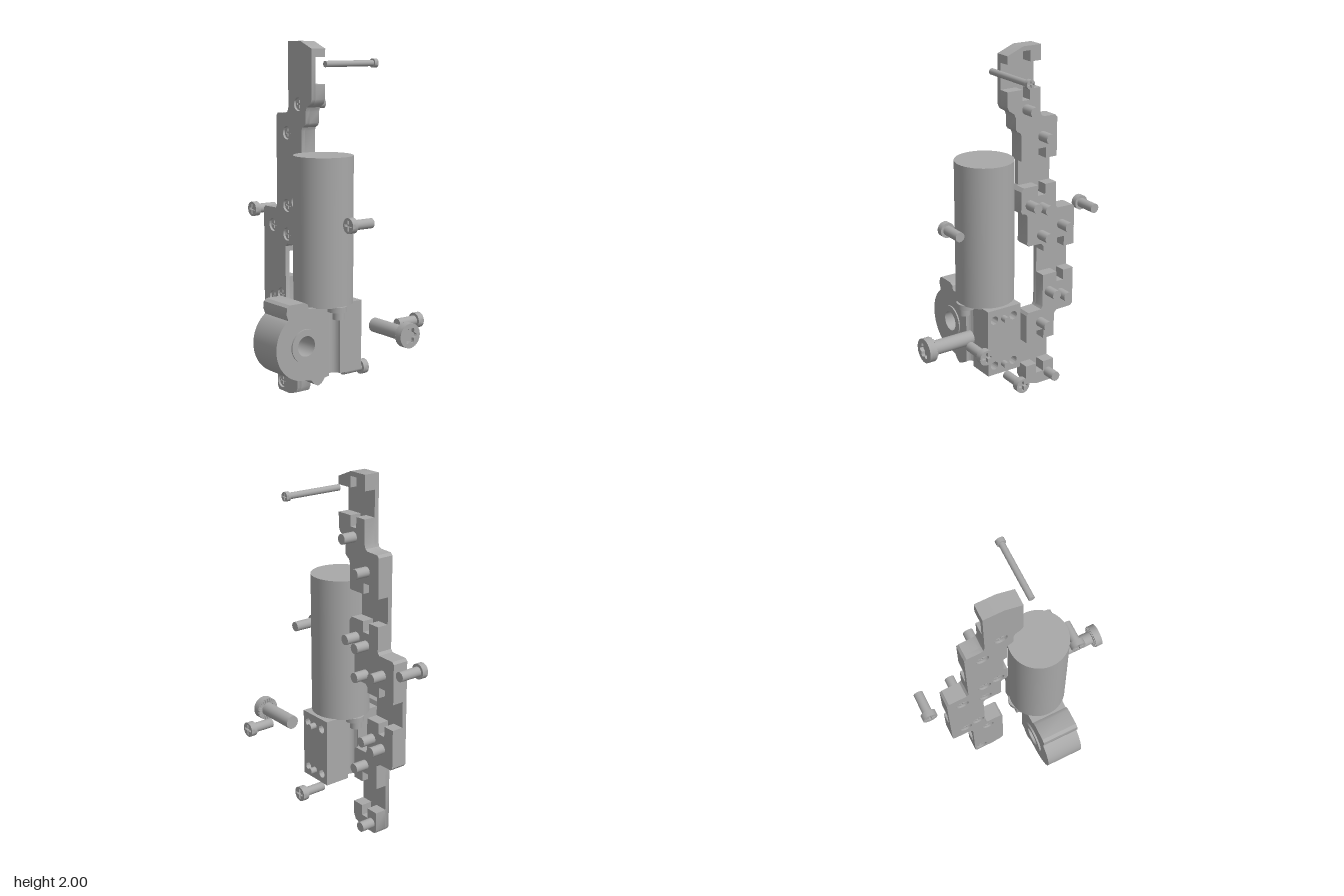
import * as THREE from 'three';
import { toCreasedNormals } from 'three/addons/utils/BufferGeometryUtils.js';

const steel = new THREE.MeshStandardMaterial({ color: 0xa8a8a8 });
steel.name = 'grey steel';

function mesh(name, geometry, parent, x = 0, y = 0, z = 0) {
  const m = new THREE.Mesh(geometry, steel);
  m.name = name;
  m.position.set(x, y, z);
  parent.add(m);
  return m;
}

const extrude = (shape, depth) => toCreasedNormals(
  new THREE.ExtrudeGeometry(shape, { depth, bevelEnabled: false, curveSegments: 16 }), 0.6);
const polygon = pts => new THREE.Shape(pts.map(p => new THREE.Vector2(p[0], p[1])));
const circle = (x, y, r, Type = THREE.Path) => {
  const c = new Type();
  c.absarc(x, y, r, 0, Math.PI * 2);
  return c;
};
// Cylinder lying along z, from z0 to z1
const rod = (r, z0, z1) =>
  new THREE.CylinderGeometry(r, r, z1 - z0, 32).rotateX(Math.PI / 2).translate(0, 0, (z0 + z1) / 2);

// Cross or six-lobed socket outline
function socket(r, lobes) {
  const pts = [];
  if (lobes === 4) {
    const w = r * 0.22;
    for (let i = 0; i < 4; i++) {
      const c = Math.round(Math.cos(i * Math.PI / 2)), s = Math.round(Math.sin(i * Math.PI / 2));
      for (const [a, b] of [[r, -w], [r, w], [w, w]]) pts.push([a * c - b * s, a * s + b * c]);
    }
  } else {
    for (let i = 0; i < 48; i++) {
      const a = i * Math.PI / 24, q = r * (0.85 + 0.15 * Math.cos(a * lobes));
      pts.push([q * Math.cos(a), q * Math.sin(a)]);
    }
  }
  return polygon(pts);
}

// Screw whose head faces local +z; the underside of the head is at z = 0
function screw(name, parent, r, length, headR, headH, lobes = 4) {
  const g = new THREE.Group();
  g.name = name;
  parent.add(g);
  mesh('shaft', rod(r, -length, 0), g);
  mesh('headBase', rod(headR, 0, headH / 2), g);
  const top = circle(0, 0, headR, THREE.Shape);
  top.holes.push(socket(headR * 0.68, lobes));
  mesh('headTop', extrude(top, headH / 2), g, 0, 0, headH / 2);
  return g;
}

// Rail edges as (u, y), with u = -z, listed from top to bottom
const edgeA = [[.1, 2], [0, 1.96], [0, 1.69], [.012, 1.665], [.045, 1.645], [.055, 1.62], [.055, 1.56],
  [.065, 1.545], [.085, 1.535], [.093, 1.515], [.093, 1.375], [.115, 1.365], [.115, 1.225], [.093, 1.2],
  [.093, 1.085], [.1, 1.072], [.128, 1.065], [.135, 1.05], [.135, .885], [.145, .874], [.23, .872],
  [.246, .855], [.246, .485], [.235, .468], [.147, .466], [.135, .45], [.135, .05], [.15, .02], [.21, 0]];
const edgeB = [[.214, 2], [.214, 1.64], [.222, 1.615], [.24, 1.606], [.315, 1.604], [.328, 1.59],
  [.328, 1.08], [.34, 1.065], [.445, 1.063], [.458, 1.05], [.458, .455], [.445, .441], [.345, .439],
  [.328, .42], [.328, .02], [.315, 0]];

function edgeAt(edge, y) {
  for (let i = 1; i < edge.length; i++) {
    const [u0, y0] = edge[i - 1], [u1, y1] = edge[i];
    if (y <= y0 && y >= y1) return [u0 + (u1 - u0) * (y0 - y) / (y0 - y1), y];
  }
  return edge[edge.length - 1];
}

// Rail outline between two heights, with optional notches in its ends
function railShape(y0, y1, notchBottom, notchTop) {
  const cut = e => [edgeAt(e, y1), ...e.filter(p => p[1] > y0 && p[1] < y1), edgeAt(e, y0)];
  const pts = cut(edgeA), w = .024, d = .06;
  if (notchBottom) {
    const c = notchBottom;
    pts.push([c - w, y0], [c - w, y0 + d], [c + w, y0 + d], [c + w, y0]);
  }
  pts.push(...cut(edgeB).reverse());
  if (notchTop) {
    const c = notchTop;
    pts.push([c + w, y1], [c + w, y1 - d], [c - w, y1 - d], [c - w, y1]);
  }
  return polygon(pts);
}

function buildRail(parent) {
  const rail = new THREE.Group();
  rail.name = 'rail';
  parent.add(rail);
  const pins = [[.124, 1.66], [.23, 1.497], [.15, 1.117], [.23, 1.09], [.23, .926],
    [.368, .963], [.288, .571], [.368, .54], [.23, .392], [.288, .056]];

  // Thin back plate with a sunk hole for each screw
  const plate = railShape(0, 2);
  for (const [u, y] of pins) plate.holes.push(circle(u, y, .037));
  mesh('backPlate', extrude(plate, .026).rotateY(Math.PI / 2), rail, -.042);

  // Thick blocks between the recesses
  const blocks = [[1.915, 2, .122, 0], [1.37, 1.77, .23, .122], [.825, 1.22, .365, .23],
    [.28, .677, .23, .365], [0, .13, 0, .23]];
  for (const b of blocks)
    mesh('railBlock', extrude(railShape(...b), .066).rotateY(Math.PI / 2), rail, -.016);

  for (const [u, y] of pins) {
    const s = screw('railScrew', rail, .028, .15, .033, .012);
    s.rotation.y = -Math.PI / 2;
    s.position.set(-.02, y, -u);
  }
}

function buildGearbox(parent) {
  const box = new THREE.Group();
  box.name = 'gearbox';
  parent.add(box);
  const hx = -.228, hy = .402;

  // Rounded housing around the output hub
  const pts = [[-.07, .6], [-.207, .6], [-.213, .625], [-.235, .638], [-.33, .638], [-.348, .625],
    [-.352, .59], [-.34, .555]];
  for (let i = 0; i <= 24; i++) {
    const a = (127 + i * 143 / 24) * Math.PI / 180;
    pts.push([hx + .19 * Math.cos(a), hy + .19 * Math.sin(a)]);
  }
  pts.push([-.19, .205], [-.17, .18], [-.145, .168], [-.12, .178], [-.1, .205], [-.07, .21]);
  const housing = polygon(pts);
  housing.holes.push(circle(hx, hy, .057));
  mesh('housing', extrude(housing, .215), box, 0, 0, -.02);
  const hub = circle(hx, hy, .093, THREE.Shape);
  hub.holes.push(circle(hx, hy, .056));
  mesh('hub', extrude(hub, .233), box, 0, 0, -.03);

  // Core block with a screw groove on each side
  const core = new THREE.Shape();
  core.moveTo(-.07, -.195);
  core.absarc(-.033, -.195, .037, Math.PI, 0, true);
  core.lineTo(.1, -.195);
  core.lineTo(.1, .02);
  core.absarc(-.033, .02, .037, 0, -Math.PI, true);
  mesh('coreBlock', extrude(core, .39).rotateX(-Math.PI / 2), box, 0, .21, 0);

  // End plate with four holes and two pins
  const end = polygon([[-.195, .21], [.02, .21], [.02, .6], [-.195, .6]]);
  for (const y of [.265, .54]) {
    for (const u of [-.153, -.029]) end.holes.push(circle(u, y, .024));
    mesh('endPin', rod(.018, 0, .09).rotateY(Math.PI / 2), box, .1, y, .093);
  }
  mesh('endPlate', extrude(end, .053).rotateY(Math.PI / 2), box, .1);
}

export function createModel() {
  const model = new THREE.Group();
  model.name = 'gearMotorAssembly';

  // Motor with its two mounting ears
  mesh('motorCan', new THREE.CylinderGeometry(.163, .163, .805, 64), model, -.033, .9975, .0925);
  for (const side of [-1, 1]) {
    mesh('motorEar', new THREE.CylinderGeometry(.053, .053, .03, 32), model, -.033, .583, .0925 + side * .125);
    mesh('earScrew', new THREE.CylinderGeometry(.032, .032, .05, 32), model, -.033, .552, .0925 + side * .136);
  }
  buildGearbox(model);
  buildRail(model);

  // Loose screws: head underside position, facing, shaft radius, length, head radius and height
  const loose = [
    [-.02, 1.03, -.563, -1, .027, .123, .042, .035],
    [-.02, 1.05, .335, -1, .027, .123, .042, .035],
    [.377, .487, .375, 1, .027, .122, .042, .037],
    [.253, .17, .056, 1, .025, .123, .042, .037],
    [.325, 1.88, .064, 1, .017, .325, .025, .025],
  ];
  for (const [x, y, z, dir, ...size] of loose) {
    const s = screw('looseScrew', model, ...size);
    s.rotation.y = dir * Math.PI / 2;
    s.position.set(x, y, z);
  }

  // Large screw with a toothed head underside
  const big = screw('serratedScrew', model, .039, .25, .067, .042, 6);
  big.position.set(.153, .483, .557);
  for (let i = 0; i < 24; i++) {
    const a = i * Math.PI / 12;
    const tooth = mesh('tooth', new THREE.BoxGeometry(.022, .007, .008), big,
      .053 * Math.cos(a), .053 * Math.sin(a), -.003);
    tooth.rotation.z = a;
  }
  return model;
}
